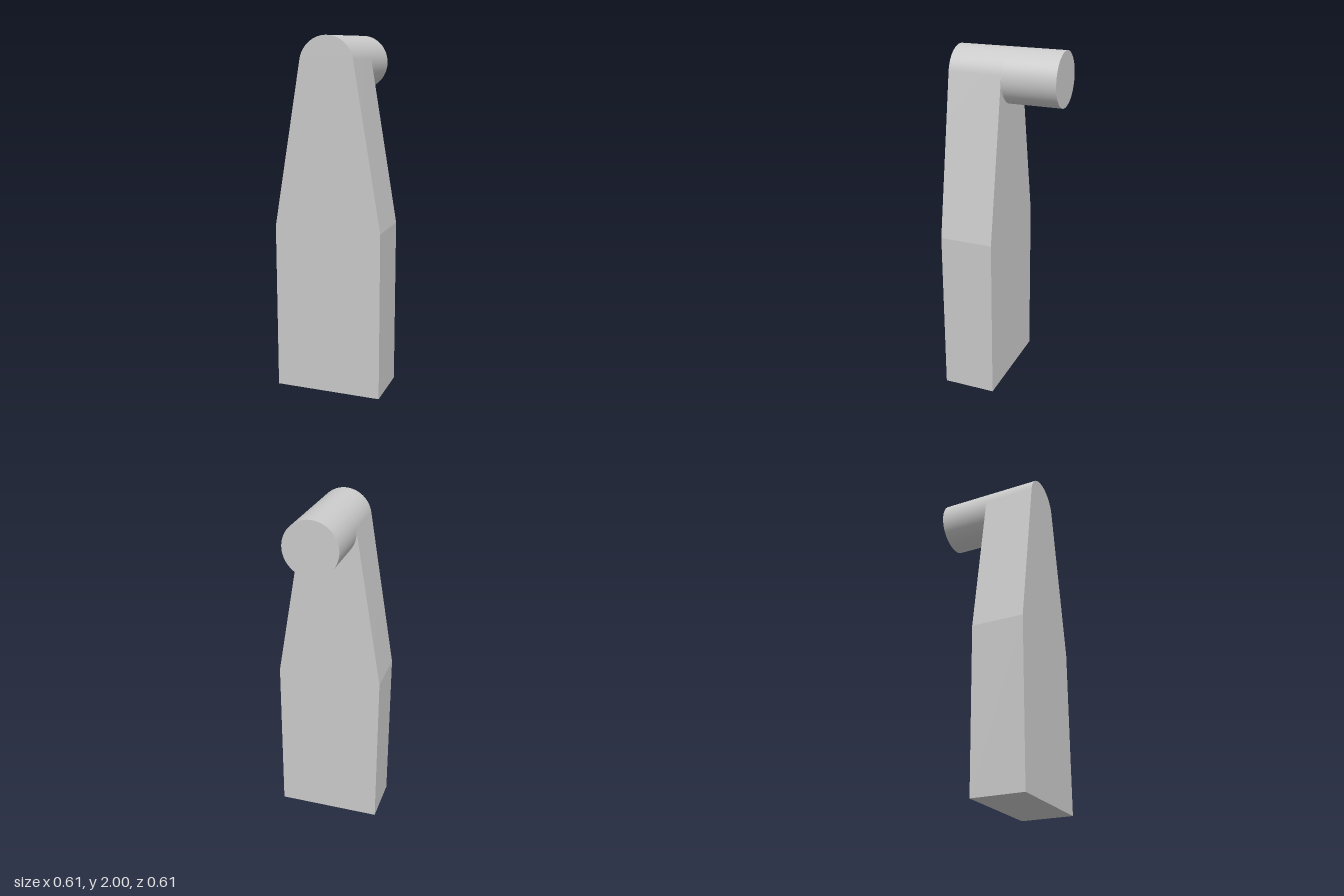
import * as THREE from 'three';
import { toCreasedNormals } from 'three/addons/utils/BufferGeometryUtils.js';

const HALF_WIDTH = 0.307, DEPTH = 0.307, SHOULDER = 0.955;
const RADIUS = 0.153, AXIS_Y = 2 - RADIUS;

export function createModel() {
  const group = new THREE.Group();
  group.name = 'peggedPlate';
  const material = new THREE.MeshStandardMaterial({ color: 0xcccccc });

  // Tapered plate: the slanted edges run tangent into the rounded top
  const rise = AXIS_Y - SHOULDER;
  const tangent = Math.atan2(HALF_WIDTH, rise) - Math.asin(RADIUS / Math.hypot(HALF_WIDTH, rise));
  const outline = new THREE.Shape();
  outline.moveTo(-HALF_WIDTH, 0);
  outline.lineTo(HALF_WIDTH, 0);
  outline.lineTo(HALF_WIDTH, SHOULDER);
  outline.absarc(0, AXIS_Y, RADIUS, tangent, Math.PI - tangent, false);
  outline.lineTo(-HALF_WIDTH, SHOULDER);
  outline.closePath();
  const plateGeometry = new THREE.ExtrudeGeometry(outline, {
    depth: DEPTH, bevelEnabled: false, curveSegments: 40,
  });
  const plate = new THREE.Mesh(toCreasedNormals(plateGeometry, 0.15), material);
  plate.name = 'plate';
  group.add(plate);

  // Round peg sticking out of the back, flush with the rounded top
  const pegGeometry = new THREE.CylinderGeometry(RADIUS, RADIUS, DEPTH, 80);
  pegGeometry.rotateX(Math.PI / 2);
  const peg = new THREE.Mesh(pegGeometry, material);
  peg.name = 'peg';
  peg.position.set(0, AXIS_Y, -DEPTH / 2);
  group.add(peg);

  return group;
}
